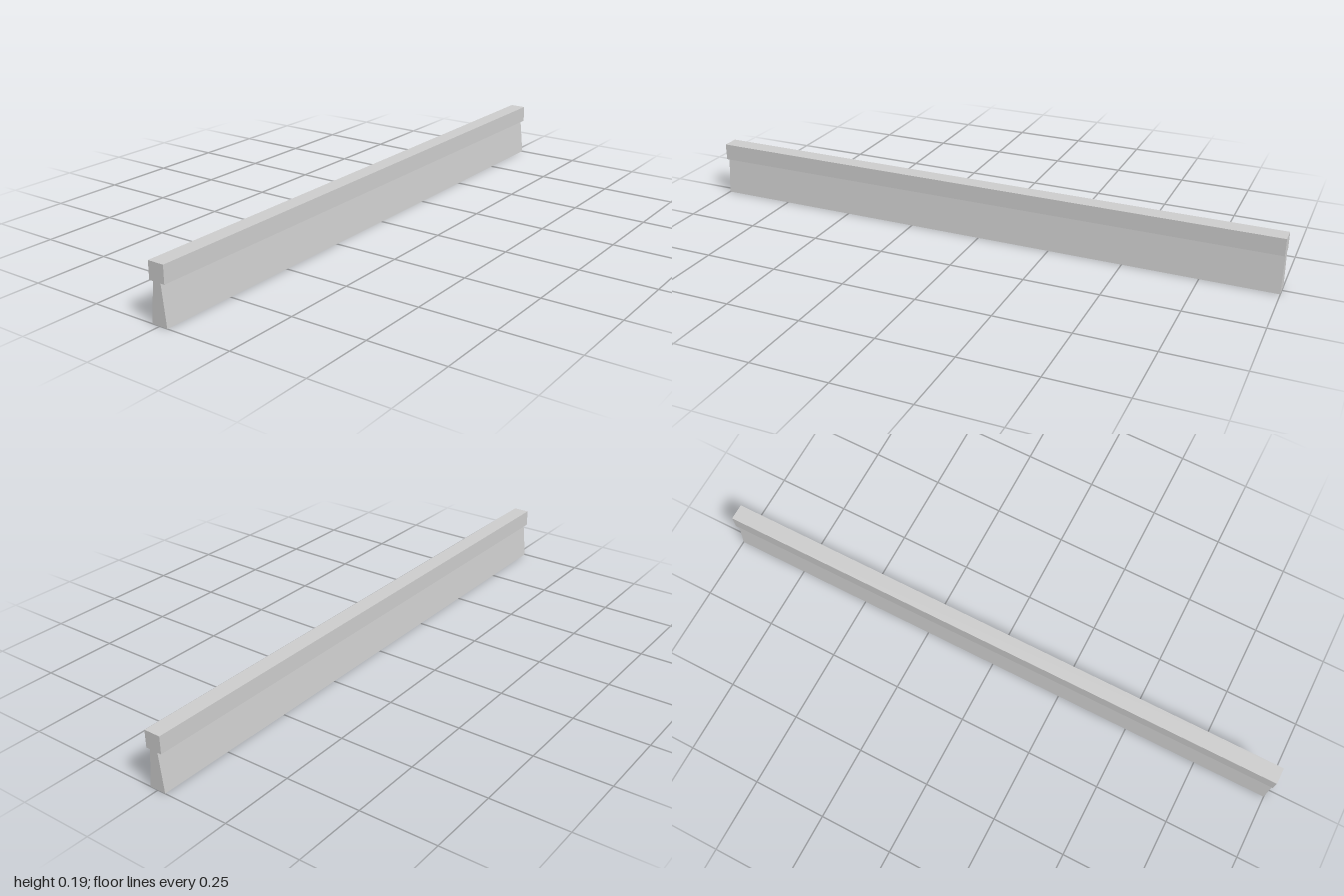
import * as THREE from 'three';

const LENGTH = 2;
const HALF_WIDTH = 0.028; // head and foot
const HALF_NECK = 0.014; // narrowest point, under the head
const NECK_Y = 0.128;
const TOP_Y = 0.185;

export function createModel() {
  const group = new THREE.Group();
  group.name = 'rail';

  // Right half of the cross-section, from foot to head, mirrored for the left
  const half = [
    [HALF_WIDTH, 0],
    [HALF_NECK, NECK_Y],
    [HALF_WIDTH, NECK_Y],
    [HALF_WIDTH, TOP_Y],
  ];
  const outline = [...half, ...half.map(([x, y]) => [-x, y]).reverse()];
  const profile = new THREE.Shape(outline.map(([x, y]) => new THREE.Vector2(x, y)));

  // Tapered web and square head swept along z as one solid bar
  const geometry = new THREE.ExtrudeGeometry(profile, { depth: LENGTH, bevelEnabled: false });
  geometry.translate(0, 0, -LENGTH / 2);

  const material = new THREE.MeshStandardMaterial({ color: 0xcccccc, flatShading: true });
  const bar = new THREE.Mesh(geometry, material);
  bar.name = 'railBar';
  group.add(bar);
  return group;
}
